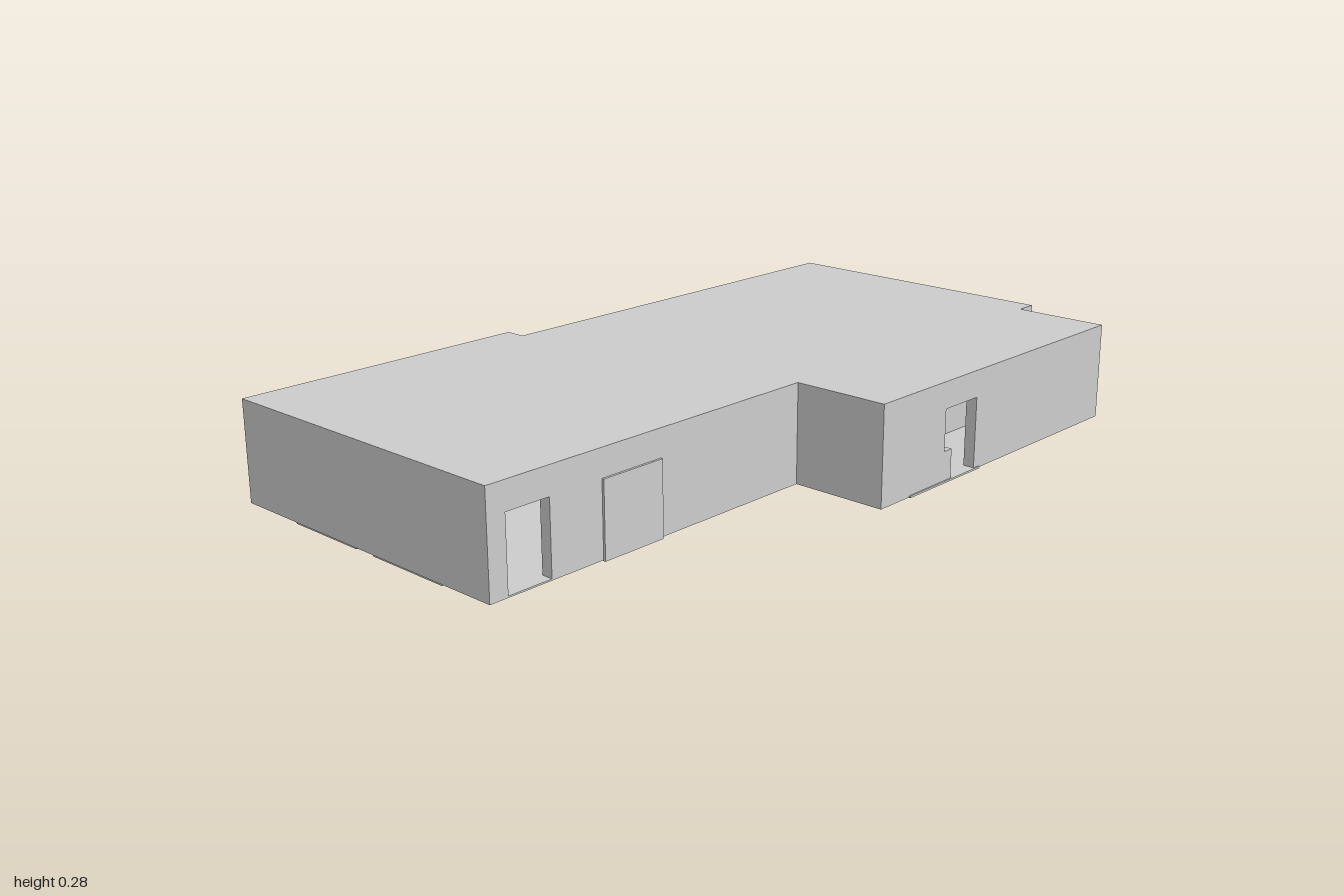
import * as THREE from 'three';

const BASE = 0.02, FLOOR = 0.024, TOP = 0.278, T = 0.03;
// Outline of the building in (x, z), walked so the interior lies on the local +z side of each wall
const OUTLINE = [
  [-1, -0.565], [-0.19, -0.565], [-0.19, -0.51], [1, -0.51], [1, 0.3],
  [0.94, 0.3], [0.94, 0.557], [-0.03, 0.557], [-0.03, 0.3], [-1, 0.3],
];

export function createModel() {
  const group = new THREE.Group();
  const mat = new THREE.MeshStandardMaterial({ color: 0xcccccc, flatShading: true });

  const add = (name, geo) => {
    const mesh = new THREE.Mesh(geo, mat);
    mesh.name = name;
    group.add(mesh);
    return mesh;
  };
  const box = (name, x0, x1, y0, y1, z0, z1) =>
    add(name, new THREE.BoxGeometry(x1 - x0, y1 - y0, z1 - z0))
      .position.set((x0 + x1) / 2, (y0 + y1) / 2, (z0 + z1) / 2);
  const rect = (x0, x1, y0, y1) => [[x0, y0], [x1, y0], [x1, y1], [x0, y1]];
  const poly = (pts) => pts.map(([x, y]) => new THREE.Vector2(x, y));

  // Extruded outline with polygonal holes
  const plate = (pts, holes, depth) => {
    const shape = new THREE.Shape(poly(pts));
    holes.forEach((h) => shape.holes.push(new THREE.Path(poly(h))));
    return new THREE.ExtrudeGeometry(shape, { depth, bevelEnabled: false });
  };
  // Horizontal plate from a plan in (x, z)
  const slab = (name, plan, y0, y1, holes = []) => {
    const flip = (pts) => pts.map(([x, z]) => [x, -z]);
    const geo = plate(flip(plan), holes.map(flip), y1 - y0);
    add(name, geo.rotateX(-Math.PI / 2)).position.y = y0;
  };

  slab('floor', OUTLINE, BASE, FLOOR);
  slab('roof', OUTLINE, TOP - 0.02, TOP);

  // Openings per wall, as (distance along the wall, height)
  const openings = {
    0: [rect(0.055, 0.18, 0.108, 0.207), rect(0.275, 0.41, 0.108, 0.207),
      rect(0.45, 0.61, 0.108, 0.207)],
    5: [rect(0.05, 0.23, FLOOR, 0.208)],
    6: [[[0.59, FLOOR], [0.69, FLOOR], [0.69, 0.1], [0.72, 0.1], [0.72, 0.208], [0.59, 0.208]]],
    8: [],
    9: [],
  };
  // The front wall of the main block holds the narrow doorway
  openings[8] = [rect(0.8, 0.92, FLOOR, 0.208)];

  // Outer walls
  OUTLINE.forEach(([x, z], i) => {
    const [nx, nz] = OUTLINE[(i + 1) % OUTLINE.length];
    const length = Math.hypot(nx - x, nz - z);
    const wall = add('outerWall', plate(rect(0, length, BASE, TOP), openings[i] || [], T));
    wall.position.set(x, 0, z);
    wall.rotation.y = Math.atan2(z - nz, nx - x);
  });

  // Inner walls and the low counter in the front room
  box('frontRoomWall', -0.03, 0.94, FLOOR, TOP - 0.02, 0.32, 0.35);
  box('innerWall', -0.21, -0.19, FLOOR, TOP - 0.02, -0.51, 0.28);
  box('counter', 0, 0.25, FLOOR, 0.1, 0.37, 0.53);

  // Thin closed door and threshold on the front
  box('frontDoor', -0.68, -0.5, BASE - 0.002, 0.208, 0.29, 0.306);
  box('threshold', 0.08, 0.37, BASE - 0.001, FLOOR, 0.54, 0.561);

  // Raised rectangular rims under the floor
  [
    [-0.98, -0.72, -0.12, 0.12, 0.003, 0.02],
    [-0.98, -0.72, -0.41, -0.18, 0.003, 0.02],
    [0.62, 0.84, -0.31, -0.23, 0.003, 0.014],
    [0.68, 0.755, 0.25, 0.3, 0.01, 0.012],
  ].forEach(([x0, x1, z0, z1, y0, r]) =>
    slab('underfloorRim', rect(x0, x1, z0, z1), y0, BASE + 0.002,
      [rect(x0 + r, x1 - r, z0 + r, z1 - r)]));

  return group;
}
